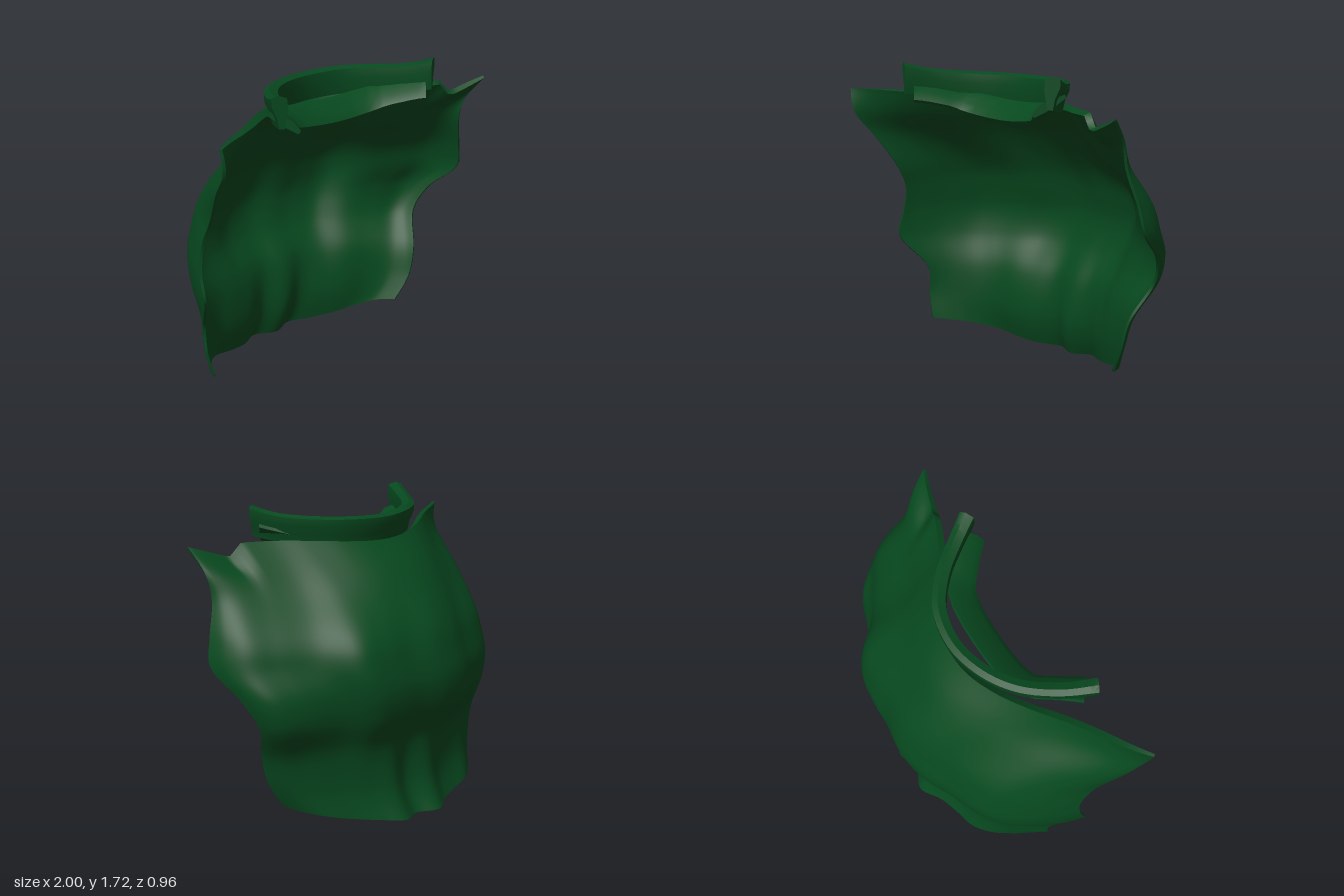
import * as THREE from 'three';
import { toCreasedNormals } from 'three/addons/utils/BufferGeometryUtils.js';

const green = new THREE.MeshStandardMaterial({ color: 0x07491f, side: THREE.DoubleSide });
green.name = 'dark green cloth';

// Cape silhouette from shoulders to hem: y, left x, left z, back z, right x, right z
const rows = [
  [1.55, -1.0, 0.47, -0.07, 0.97, 0.36],
  [1.42, -0.98, 0.465, -0.195, 0.94, 0.26],
  [1.28, -0.95, 0.36, -0.295, 0.93, 0.225],
  [1.1, -0.9, 0.24, -0.405, 0.98, 0.19],
  [0.95, -0.9, 0.165, -0.457, 1.0, 0.16],
  [0.8, -0.92, 0.17, -0.478, 0.94, 0.0],
  [0.64, -0.92, 0.2, -0.445, 0.87, -0.06],
  [0.45, -0.83, 0.06, -0.35, 0.79, 0.03],
  [0.28, -0.82, 0.06, -0.335, 0.74, 0.04],
  [0.135, -0.78, 0.07, -0.4, 0.66, 0.01],
];

// Plan curve: position across, then depth fraction at shoulders, middle and hem
const columns = [
  [-1, 0, 0, 0], [-0.96, 0.06, 0.16, 0.12], [-0.88, 0.16, 0.38, 0.32],
  [-0.76, 0.29, 0.6, 0.55], [-0.62, 0.46, 0.73, 0.7], [-0.45, 0.69, 0.83, 0.76],
  [-0.28, 0.88, 0.95, 0.84], [-0.1, 1, 1, 1], [0.08, 1, 0.96, 0.88],
  [0.25, 0.88, 0.95, 0.98], [0.42, 0.66, 0.89, 0.82], [0.58, 0.42, 0.64, 0.66],
  [0.76, 0.23, 0.47, 0.5], [0.9, 0.11, 0.34, 0.3], [0.97, 0.04, 0.18, 0.1], [1, 0, 0, 0],
];

// Smooth interpolation through the rows of a small table
function sample(table, t) {
  const last = table.length - 1;
  const i = Math.min(Math.floor(t * last), last - 1);
  const f = t * last - i;
  const [a, b, c, d] = [-1, 0, 1, 2].map((k) => table[Math.min(Math.max(i + k, 0), last)]);
  return b.map((p1, k) => {
    const m1 = (c[k] - a[k]) / 2, m2 = (d[k] - p1) / 2, e = c[k] - p1;
    return p1 + f * (m1 + f * (3 * e - 2 * m1 - m2 + f * (m1 + m2 - 2 * e)));
  });
}

// Surface from a function of two grid indices
function grid(nu, nv, pointAt, flip = false) {
  const pos = [], index = [];
  for (let j = 0; j <= nv; j++) {
    for (let i = 0; i <= nu; i++) pos.push(...pointAt(i, j).toArray());
  }
  for (let j = 0; j < nv; j++) {
    for (let i = 0; i < nu; i++) {
      const a = j * (nu + 1) + i, b = a + 1, c = a + nu + 1, d = c + 1;
      if (flip) index.push(a, c, b, b, c, d);
      else index.push(a, b, c, b, d, c);
    }
  }
  const g = new THREE.BufferGeometry();
  g.setAttribute('position', new THREE.Float32BufferAttribute(pos, 3));
  g.setIndex(index);
  g.computeVertexNormals();
  return g;
}

function capePoint(u, v) {
  const [y, xL, zL, zBack, xR, zR] = sample(rows, v);
  const [n, top, mid, low] = sample(columns, u);
  const wTop = THREE.MathUtils.smoothstep(y, 1.0, 1.54);
  const wLow = 1 - THREE.MathUtils.smoothstep(y, 0.2, 0.65);
  const depth = top * wTop + low * wLow + mid * (1 - wTop - wLow);
  const across = (n + 1) / 2;
  const edge = THREE.MathUtils.lerp(zL, zR, across);
  // neckline dip, shoulder notch and curved hem
  const neck = 0.03 * wTop * (1 - n * n) ** 7;
  const notch = 0.07 * wTop ** 6 * Math.max(0, Math.min((n - 0.73) / 0.06, (1 - n) / 0.21));
  const hem = 0.125 * (1 - THREE.MathUtils.smoothstep(y, 0.13, 0.5)) * (1 - n * n);
  return new THREE.Vector3(
    THREE.MathUtils.lerp(xL, xR, across),
    y - neck - notch - hem,
    THREE.MathUtils.lerp(edge, zBack, depth),
  );
}

// Sweep a closed cross-section (outward, up) along a path, tapering shut at both ends
function sweep(path, section, steps) {
  const curve = new THREE.CatmullRomCurve3(path.map((p) => new THREE.Vector3(p[0], p[1], p[2])));
  const n = section.length;
  const g = grid(n, steps + 2, (i, j) => {
    const t = Math.min(Math.max((j - 1) / steps, 0), 1);
    const p = curve.getPoint(t);
    const tan = curve.getTangent(t);
    const out = new THREE.Vector3(tan.z, 0, -tan.x).normalize();
    const closed = j === 0 || j === steps + 2;
    const mean = (k) => section.reduce((s, q) => s + q[k], 0) / n;
    const [o, h] = closed ? [mean(0), mean(1)] : section[i % n];
    const stretch = 1 + 0.12 * Math.abs(2 * t - 1) ** 6;
    return p.addScaledVector(out, o * stretch).add(new THREE.Vector3(0, h * stretch, 0));
  });
  return toCreasedNormals(g, 0.7);
}

export function createModel() {
  const model = new THREE.Group();
  const add = (name, geometry) => {
    const mesh = new THREE.Mesh(geometry, green);
    mesh.name = name;
    model.add(mesh);
  };

  // Cape: outer cloth, lining just inside it (thicker at the shoulders), and the joining hem
  const NU = 90, NV = 60;
  const outer = grid(NU, NV, (i, j) => capePoint(i / NU, j / NV));
  const at = (i, j, inner) => {
    const k = j * (NU + 1) + i;
    const p = new THREE.Vector3().fromBufferAttribute(outer.attributes.position, k);
    const n = new THREE.Vector3().fromBufferAttribute(outer.attributes.normal, k);
    const lip = 0.035 * (1 - j / NV) ** 8 * Math.sin((Math.PI * i) / NU);
    return p.addScaledVector(n, -inner * (0.014 + lip));
  };
  add('capeOuter', outer);
  add('capeLining', grid(NU, NV, (i, j) => at(i, j, 1), true));
  const border = [];
  for (let i = 0; i < NU; i++) border.push([i, 0]);
  for (let j = 0; j < NV; j++) border.push([NU, j]);
  for (let i = NU; i > 0; i--) border.push([i, NV]);
  for (let j = NV; j >= 0; j--) border.push([0, j]);
  add('capeHem', grid(border.length - 1, 1, (i, j) => at(...border[i], j), true));

  // Standing collar around the back of the neck, flaring outward
  add('collar', sweep(
    [[-0.58, 1.55, 0.41], [-0.49, 1.525, 0.25], [-0.36, 1.515, 0.09], [-0.2, 1.51, -0.01],
      [0, 1.505, -0.055], [0.2, 1.51, -0.015], [0.35, 1.515, 0.1], [0.46, 1.525, 0.24], [0.54, 1.55, 0.365]],
    [[0.005, 0], [0.015, 0.05], [0.038, 0.1], [0.04, 0.14], [0.01, 0.153], [-0.03, 0.14], [-0.035, 0.09], [-0.02, 0]],
    40,
  ));

  // Sloping band across the front of the neck
  add('neckBand', sweep(
    [[-0.535, 1.57, 0.375], [-0.45, 1.545, 0.275], [-0.335, 1.505, 0.16], [0, 1.475, 0.128],
      [0.28, 1.5, 0.16], [0.41, 1.54, 0.26], [0.505, 1.57, 0.345]],
    [[0.075, 0.035], [0.068, 0.05], [-0.045, 0.005], [-0.08, -0.04], [-0.068, -0.055], [0.01, -0.015]],
    18,
  ));

  return model;
}
